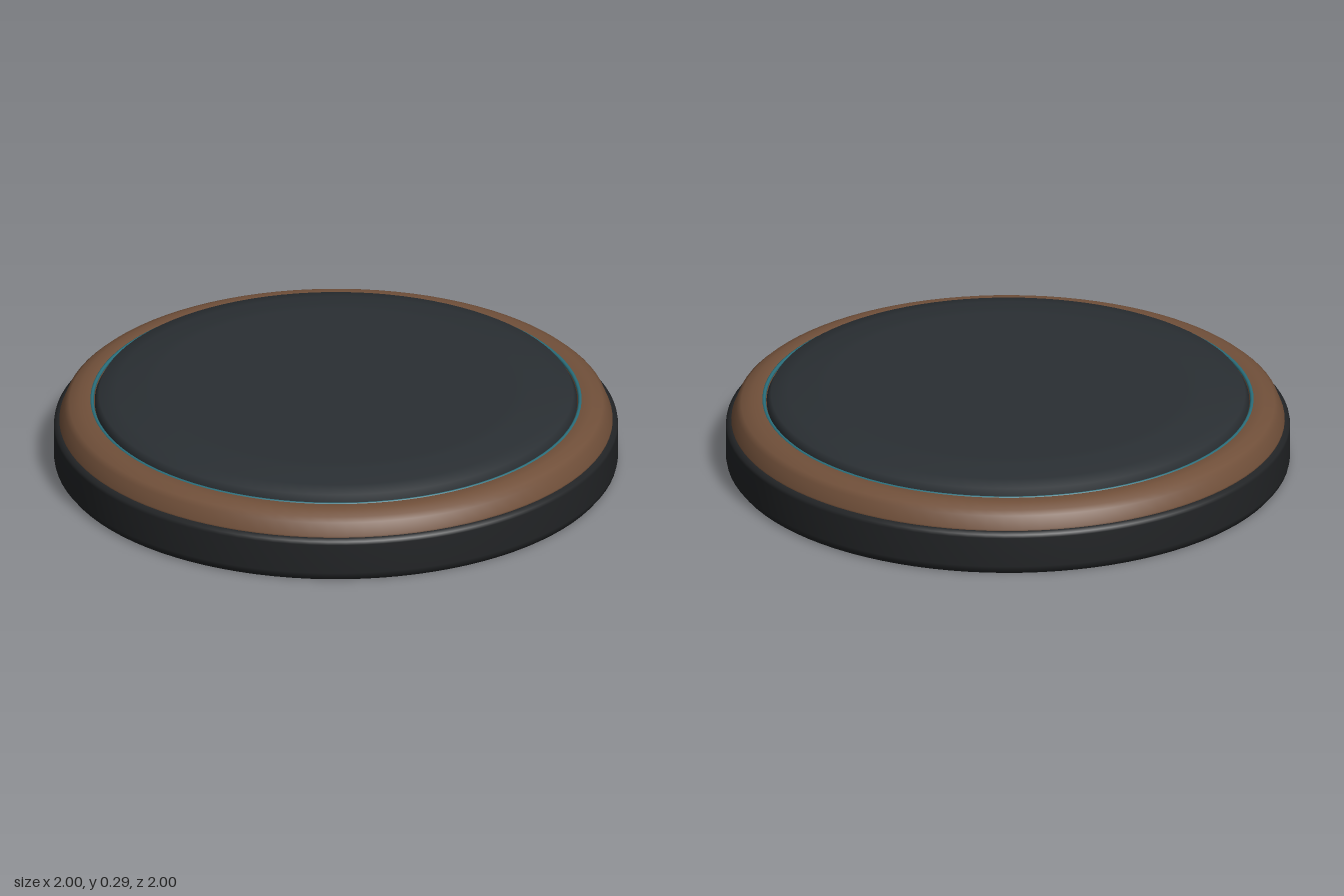
import * as THREE from 'three';

// Round part turned from a profile of [radius, height] points
function turned(name, color, profile) {
  const points = profile.map(([r, y]) => new THREE.Vector2(r, y));
  const mesh = new THREE.Mesh(
    new THREE.LatheGeometry(points, 96),
    new THREE.MeshStandardMaterial({ color })
  );
  mesh.name = name;
  return mesh;
}

export function createModel() {
  const group = new THREE.Group();
  group.name = 'roundPad';

  // Dark base with small bevels at the foot and shoulder
  group.add(turned('base', 0x222426, [
    [0, 0], [0.97, 0], [0.985, 0], [0.997, 0.015], [1, 0.03],
    [1, 0.14], [0.998, 0.152], [0.985, 0.16], [0.97, 0.16], [0, 0.16],
  ]));

  // Brown rim with a stepped, rounded shoulder
  group.add(turned('rim', 0x71503a, [
    [0.85, 0.15], [0.982, 0.15], [0.98, 0.165], [0.962, 0.21],
    [0.945, 0.225], [0.91, 0.24], [0.87, 0.24], [0.855, 0.23], [0.85, 0.15],
  ]));

  // Thin teal accent line between the rim and the pad
  const accent = new THREE.Mesh(
    new THREE.TorusGeometry(0.865, 0.007, 8, 96),
    new THREE.MeshStandardMaterial({ color: 0x2a6f7c })
  );
  accent.name = 'accentRing';
  accent.rotation.x = Math.PI / 2;
  accent.position.y = 0.236;
  group.add(accent);

  // Dark raised pad, gently sloped towards its edge
  group.add(turned('topPad', 0x2a2f33, [
    [0, 0.16], [0.855, 0.16], [0.855, 0.235], [0.84, 0.262],
    [0.78, 0.273], [0.68, 0.29], [0.64, 0.29], [0, 0.29],
  ]));

  return group;
}
